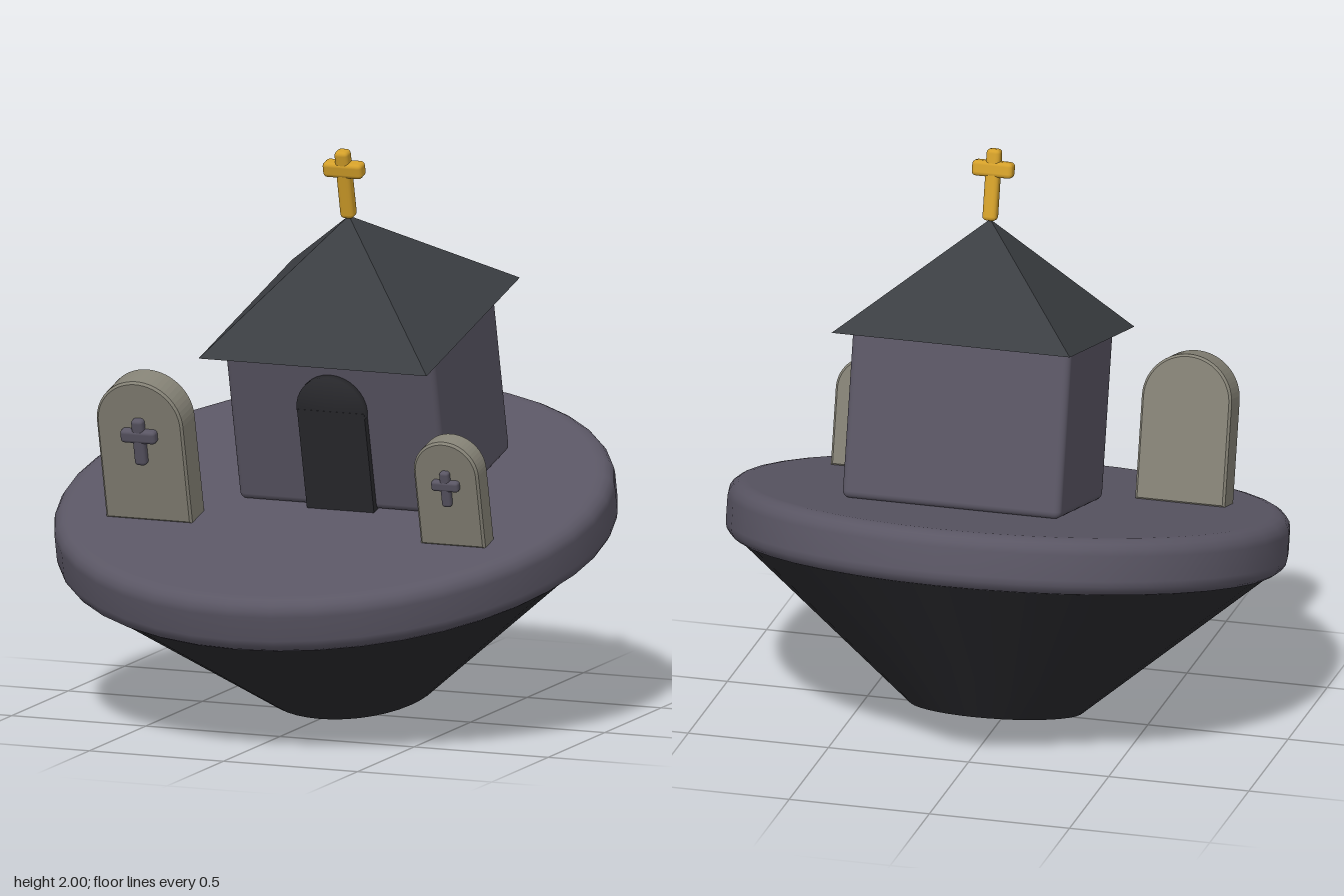
import * as THREE from 'three';
import { RoundedBoxGeometry } from 'three/addons/geometries/RoundedBoxGeometry.js';
import { mergeVertices } from 'three/addons/utils/BufferGeometryUtils.js';

const mat = (name, color) => {
  const m = new THREE.MeshStandardMaterial({ color });
  m.name = name;
  return m;
};

export function createModel() {
  const slate = mat('purpleSlate', 0x5a5664);
  const dark = mat('darkRock', 0x2a2a2e);
  const roofGrey = mat('roofGrey', 0x3b3e42);
  const stone = mat('graveStone', 0x858276);
  const gold = mat('gold', 0xd4a02a);

  const model = new THREE.Group();
  model.name = 'floatingGraveyard';

  // Everything stands on one tilted island
  const island = new THREE.Group();
  island.name = 'island';
  island.rotation.x = 0.24;
  island.position.set(0, 0.038, -0.155);
  model.add(island);

  const add = (parent, name, geometry, material, x = 0, y = 0, z = 0) => {
    const mesh = new THREE.Mesh(geometry, material);
    mesh.name = name;
    mesh.position.set(x, y, z);
    parent.add(mesh);
    return mesh;
  };

  // Rounded latin cross; y is the middle of the upright
  const addCross = (name, material, x, y, z, height, span, thick, barUp) => {
    const cross = new THREE.Group();
    cross.name = name;
    cross.position.set(x, y, z);
    const r = thick * 0.3;
    add(cross, 'upright', new RoundedBoxGeometry(thick, height, thick, 2, r), material);
    add(cross, 'crossbar', new RoundedBoxGeometry(span, thick * 1.1, thick * 1.1, 2, r), material, 0, barUp, 0);
    island.add(cross);
  };

  // Rock underside
  add(island, 'rockBase', new THREE.CylinderGeometry(0.924, 0.3, 0.535, 40), dark, 0, 0.304, 0);

  // Ground disc with a rounded rim; doubled points keep the flats crisp
  const R = 0.97, bottom = 0.57, top = 0.768, b = 0.055;
  const profile = [[0, bottom], [R - b - 0.01, bottom], [R - b, bottom]];
  for (let i = 1; i <= 4; i++) {
    const a = (i / 4) * Math.PI / 2;
    profile.push([R - b + b * Math.sin(a), bottom + b - b * Math.cos(a)]);
  }
  for (let i = 0; i <= 4; i++) {
    const a = (i / 4) * Math.PI / 2;
    profile.push([R - b + b * Math.cos(a), top - b + b * Math.sin(a)]);
  }
  profile.push([R - b - 0.01, top], [0, top]);
  add(island, 'groundDisc',
    new THREE.LatheGeometry(profile.map(p => new THREE.Vector2(...p)), 40), slate);

  // Chapel
  const cx = 0.095, cz = -0.147;
  add(island, 'chapelWalls', new RoundedBoxGeometry(0.78, 0.59, 0.575, 3, 0.025), slate, cx, 1.063, cz);

  const roof = new THREE.ConeGeometry(0.425 * Math.SQRT2, 0.385, 4).toNonIndexed();
  roof.rotateY(Math.PI / 4);
  roof.computeVertexNormals();
  add(island, 'roof', roof, roofGrey, cx, 1.548, cz);
  addCross('roofCross', gold, cx, 1.861, cz, 0.25, 0.145, 0.05, 0.055);

  // Door with a softly shaded round head
  add(island, 'door', new THREE.BoxGeometry(0.25, 0.37, 0.05), dark, cx, 0.955, 0.142);
  let arch = new THREE.CylinderGeometry(0.127, 0.127, 0.05, 32);
  arch.deleteAttribute('normal');
  arch.deleteAttribute('uv');
  arch = mergeVertices(arch);
  arch.rotateX(Math.PI / 2);
  arch.computeVertexNormals();
  add(island, 'doorArch', arch, dark, cx, 1.14, 0.141);

  // Round-topped gravestones
  const addGrave = (name, x, width, peak, back, front) => {
    const bev = 0.008, h = width / 2 - bev, base = 0.765, shoulder = peak - width / 2;
    const s = new THREE.Shape();
    s.moveTo(-h, base + bev);
    s.lineTo(h, base + bev);
    s.lineTo(h, shoulder);
    s.absarc(0, shoulder, h, 0, Math.PI, false);
    s.closePath();
    const g = new THREE.ExtrudeGeometry(s, {
      depth: front - back - 2 * bev, curveSegments: 14,
      bevelEnabled: true, bevelSize: bev, bevelThickness: bev, bevelSegments: 1,
    });
    add(island, name, g, stone, x, 0, back + bev);
  };
  addGrave('largeGravestone', -0.54, 0.32, 1.285, 0.24, 0.362);
  addGrave('smallGravestone', 0.6, 0.24, 1.155, 0.292, 0.38);
  addCross('largeGraveCross', slate, -0.54, 1.067, 0.368, 0.17, 0.13, 0.043, 0.022);
  addCross('smallGraveCross', slate, 0.6, 0.986, 0.385, 0.13, 0.1, 0.034, 0.012);

  return model;
}
